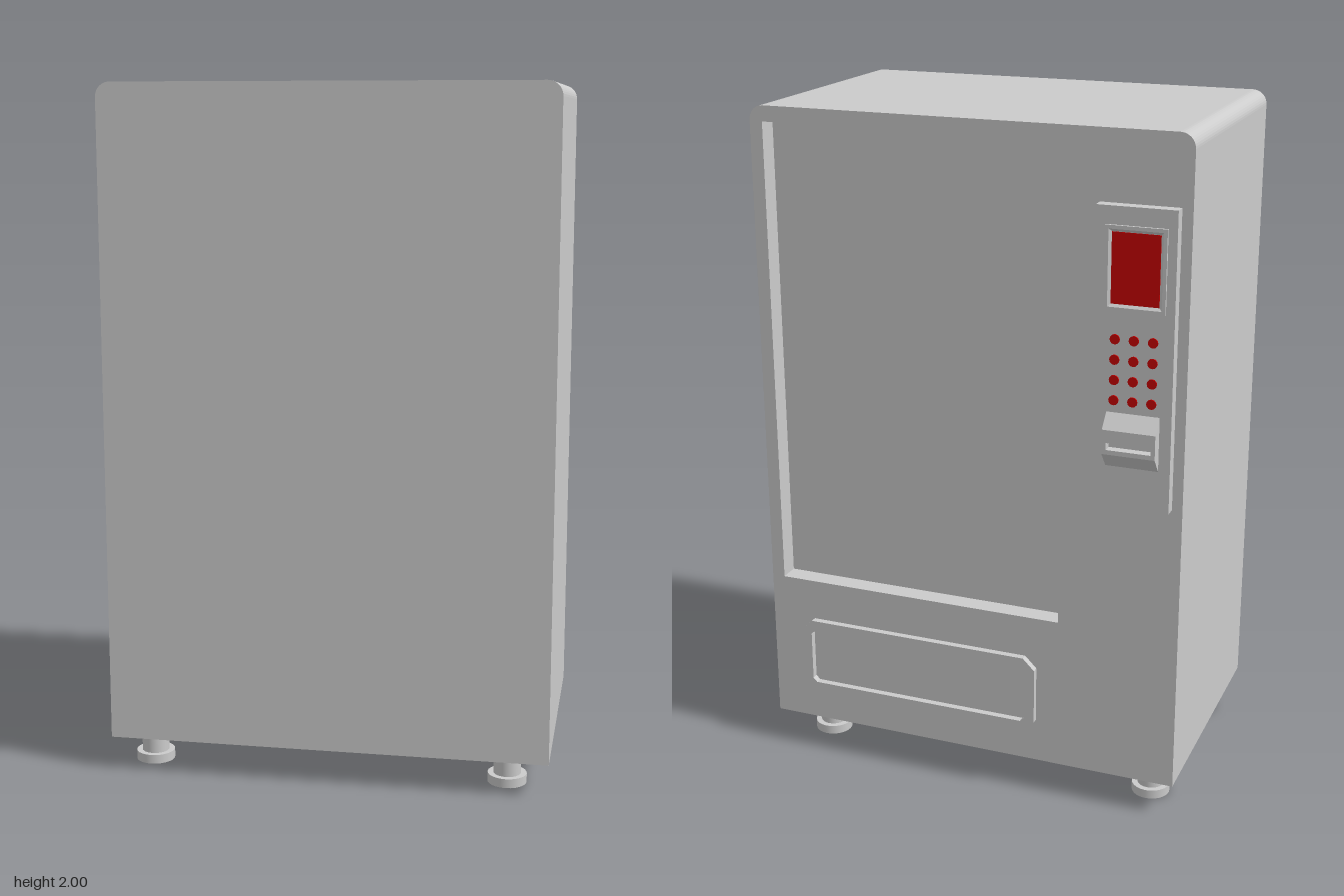
import * as THREE from 'three';

const grey = new THREE.MeshStandardMaterial({ color: 0xcccccc });
const red = new THREE.MeshStandardMaterial({ color: 0xcc0000 });
const FACE = 0.36; // door plane
const PANEL = 0.395; // control panel plane

function add(parent, name, geometry, x = 0, y = 0, z = 0, material = grey) {
  const mesh = new THREE.Mesh(geometry, material);
  mesh.name = name;
  mesh.position.set(x, y, z);
  parent.add(mesh);
  return mesh;
}

function extrude(shape, depth) {
  return new THREE.ExtrudeGeometry(shape, { depth, bevelEnabled: false, curveSegments: 5 });
}

// Rectangle with corners cut at 45 degrees
function cutRect(x0, y0, x1, y1, c) {
  const points = [
    [x0 + c, y0], [x1 - c, y0], [x1, y0 + c], [x1, y1 - c],
    [x1 - c, y1], [x0 + c, y1], [x0, y1 - c], [x0, y0 + c],
  ];
  return points.map(([x, y]) => new THREE.Vector2(x, y));
}

function rect(x0, y0, x1, y1) {
  return [[x0, y0], [x1, y0], [x1, y1], [x0, y1]].map(([x, y]) => new THREE.Vector2(x, y));
}

// Cabinet outline: square at the bottom, rounded at the top
function cabinetShape() {
  const w = 0.643, r = 0.042;
  const s = new THREE.Shape();
  s.moveTo(-w, 0.1);
  s.lineTo(w, 0.1);
  s.lineTo(w, 2 - r);
  s.absarc(w - r, 2 - r, r, 0, Math.PI / 2);
  s.lineTo(-w + r, 2);
  s.absarc(-w + r, 2 - r, r, Math.PI / 2, Math.PI);
  s.closePath();
  return s;
}

function frame(outer, inner, depth) {
  const s = new THREE.Shape(outer);
  s.holes.push(new THREE.Path(inner));
  return extrude(s, depth);
}

// Side profile in (z, y), extruded along x from x0 to x1
function sideExtrude(points, x0, x1) {
  const s = new THREE.Shape(points.map(([z, y]) => new THREE.Vector2(-z, y)));
  const g = extrude(s, x1 - x0);
  g.rotateY(Math.PI / 2);
  g.translate(x0, 0, 0);
  return g;
}

export function createModel() {
  const root = new THREE.Group();
  root.name = 'vendingMachine';
  const machine = new THREE.Group();
  machine.name = 'machine';
  machine.rotation.y = Math.PI; // the door faces the back
  root.add(machine);

  // Cabinet and door with its recessed window
  add(machine, 'cabinet', extrude(cabinetShape(), 0.73), 0, 0, -0.43);
  const door = cabinetShape();
  door.holes.push(new THREE.Path(rect(-0.604, 0.565, 0.286, 1.955)));
  add(machine, 'doorFrame', extrude(door, 0.06), 0, 0, FACE - 0.06);

  // Pick-up tray surround
  add(machine, 'trayFrame', frame(
    cutRect(-0.54, 0.2, 0.22, 0.44, 0.035),
    cutRect(-0.508, 0.232, 0.188, 0.408, 0.012), 0.02), 0, 0, FACE);

  // Control panel
  const controls = new THREE.Group();
  controls.name = 'controls';
  machine.add(controls);
  add(controls, 'controlPanel', new THREE.BoxGeometry(0.223, 0.84, 0.035), 0.5015, 1.385, FACE + 0.0175);

  // Screen: frame with sloping inner edges around the display
  const bezel = frame(rect(0.418, 1.525, 0.588, 1.755), rect(0.428, 1.535, 0.578, 1.745), 0.007);
  const pos = bezel.attributes.position;
  for (let i = 0; i < pos.count; i++) {
    const inner = Math.abs(pos.getX(i) - 0.503) < 0.08;
    if (inner && pos.getZ(i) < 0.001) {
      pos.setX(i, 0.503 + (pos.getX(i) - 0.503) * 0.9);
      pos.setY(i, 1.64 + (pos.getY(i) - 1.64) * 0.93);
    }
  }
  bezel.computeVertexNormals();
  add(controls, 'screenFrame', bezel, 0, 0, PANEL);
  add(controls, 'screen', new THREE.BoxGeometry(0.134, 0.194, 0.004), 0.503, 1.64, PANEL, red);

  // Keypad
  const key = new THREE.CylinderGeometry(0.014, 0.014, 0.008, 12);
  key.rotateX(Math.PI / 2);
  for (let row = 0; row < 4; row++) {
    for (let col = 0; col < 3; col++) {
      add(controls, 'key', key, 0.45 + col * 0.053, 1.446 - row * 0.057, PANEL, red);
    }
  }

  // Note slot: wedge hood with a slit between solid ends
  const back = PANEL - 0.005, tip = 0.432;
  const full = [[back, 1.24], [PANEL, 1.24], [tip, 1.2], [tip, 1.13], [PANEL, 1.085], [back, 1.085]];
  const slit = [[back, 1.24], [PANEL, 1.24], [tip, 1.2], [tip, 1.163], [0.405, 1.163],
    [0.405, 1.143], [tip, 1.143], [tip, 1.13], [PANEL, 1.085], [back, 1.085]];
  add(controls, 'noteSlot', sideExtrude(slit, 0.442, 0.568));
  add(controls, 'noteSlotEnd', sideExtrude(full, 0.43, 0.442));
  add(controls, 'noteSlotEnd', sideExtrude(full, 0.568, 0.58));

  // Feet
  const stem = new THREE.CylinderGeometry(0.04, 0.04, 0.08, 24);
  const pad = new THREE.CylinderGeometry(0.057, 0.057, 0.027, 24);
  for (const x of [-0.517, 0.543]) {
    for (const z of [-0.315, 0.235]) {
      const foot = new THREE.Group();
      foot.name = 'foot';
      foot.position.set(x, 0, z);
      machine.add(foot);
      add(foot, 'footStem', stem, 0, 0.062, 0);
      add(foot, 'footPad', pad, 0, 0.0135, 0);
    }
  }
  return root;
}
